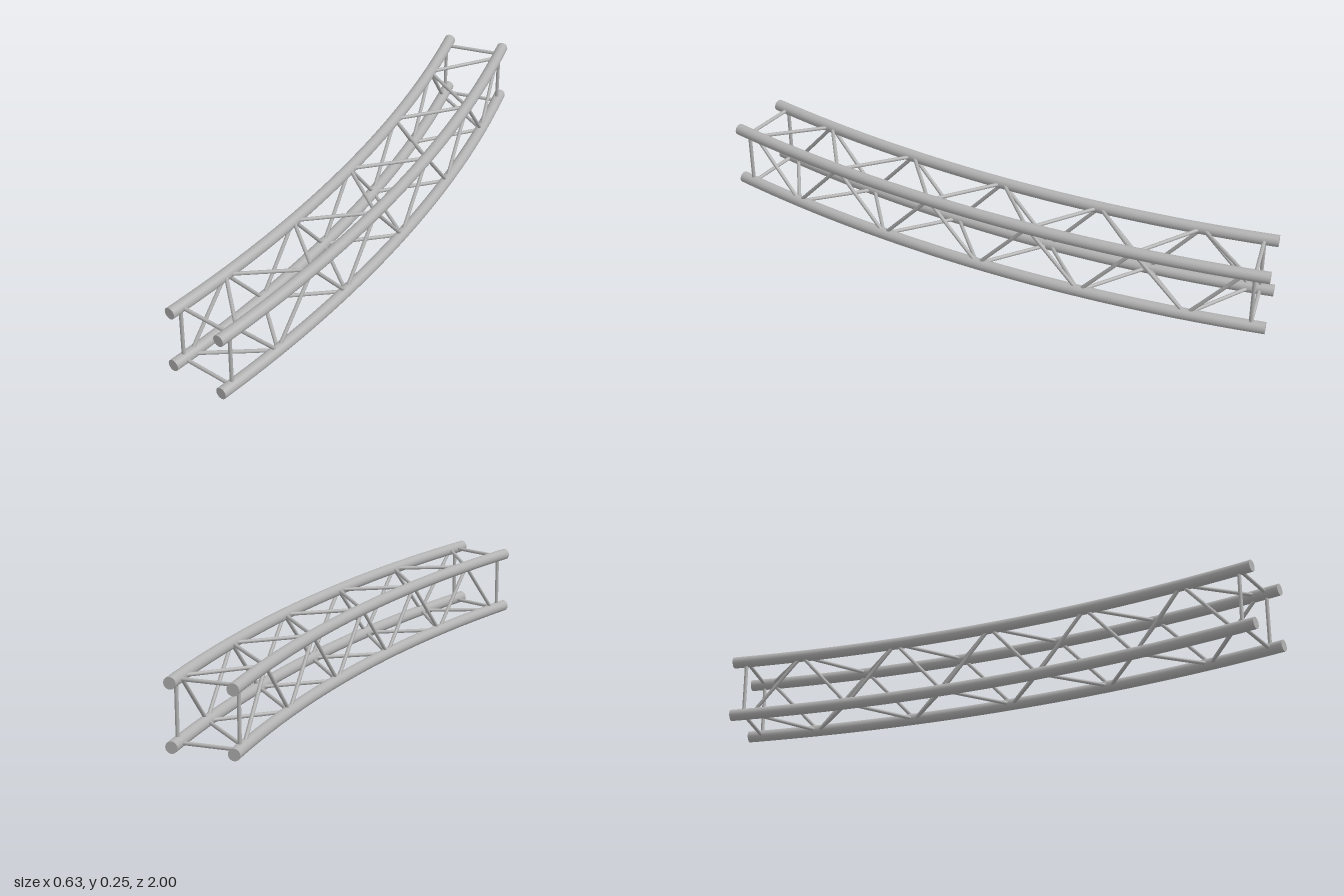
import * as THREE from 'three';

const SWEEP = THREE.MathUtils.degToRad(22.5);
const CENTRE_X = -4.9123;             // centre of the bend, level with the front end
const INNER = 4.9977, OUTER = 5.2058; // bend radii of the chords
const LOW = 0.0205, HIGH = 0.2295;    // chord heights
const CHORD_R = 0.0205, BRACE_R = 0.0065;
const BAYS = 10;

// point on a chord at a given angle along the bend
function at(radius, y, angle) {
  return new THREE.Vector3(CENTRE_X + radius * Math.cos(angle), y, 1 - radius * Math.sin(angle));
}

class BendCurve extends THREE.Curve {
  constructor(radius, y) {
    super();
    this.radius = radius;
    this.y = y;
  }
  getPoint(t, target = new THREE.Vector3()) {
    return target.copy(at(this.radius, this.y, t * SWEEP));
  }
}

export function createModel() {
  const model = new THREE.Group();
  model.name = 'curvedBoxTruss';
  const aluminium = new THREE.MeshStandardMaterial({ color: 0xb2b2b2 });
  aluminium.name = 'aluminium';

  function add(name, geometry) {
    const mesh = new THREE.Mesh(geometry, aluminium);
    mesh.name = name;
    model.add(mesh);
    return mesh;
  }

  // straight round bar between two points
  function bar(name, a, b) {
    const dir = b.clone().sub(a);
    const mesh = add(name, new THREE.CylinderGeometry(BRACE_R, BRACE_R, dir.length(), 16, 1, true));
    mesh.position.copy(a).add(b).multiplyScalar(0.5);
    mesh.quaternion.setFromUnitVectors(new THREE.Vector3(0, 1, 0), dir.normalize());
  }

  // four bent main tubes with flat end caps
  for (const radius of [INNER, OUTER]) {
    for (const y of [LOW, HIGH]) {
      add('mainChord', new THREE.TubeGeometry(new BendCurve(radius, y), 40, CHORD_R, 28));
      const cap = new THREE.CircleGeometry(CHORD_R, 28);
      add('frontCap', cap).position.copy(at(radius, y, 0));
      const back = add('backCap', cap);
      back.position.copy(at(radius, y, SWEEP));
      back.rotation.y = Math.PI + SWEEP;
    }
  }

  // the four faces, each between two chords [radius, height]
  const faces = [
    ['innerBrace', [INNER, LOW], [INNER, HIGH]],
    ['outerBrace', [OUTER, HIGH], [OUTER, LOW]],
    ['topBrace', [OUTER, HIGH], [INNER, HIGH]],
    ['bottomBrace', [INNER, LOW], [OUTER, LOW]],
  ];
  const frameInset = THREE.MathUtils.degToRad(0.55);
  const start = THREE.MathUtils.degToRad(0.9);
  const step = (SWEEP - 2 * start) / BAYS;
  for (const [name, even, odd] of faces) {
    // square frame near each end
    for (const angle of [frameInset, SWEEP - frameInset]) {
      bar('endStrut', at(...even, angle), at(...odd, angle));
    }
    // zigzag bracing
    for (let i = 0; i < BAYS; i++) {
      const [from, to] = i % 2 ? [odd, even] : [even, odd];
      bar(name, at(...from, start + i * step), at(...to, start + (i + 1) * step));
    }
  }
  return model;
}
